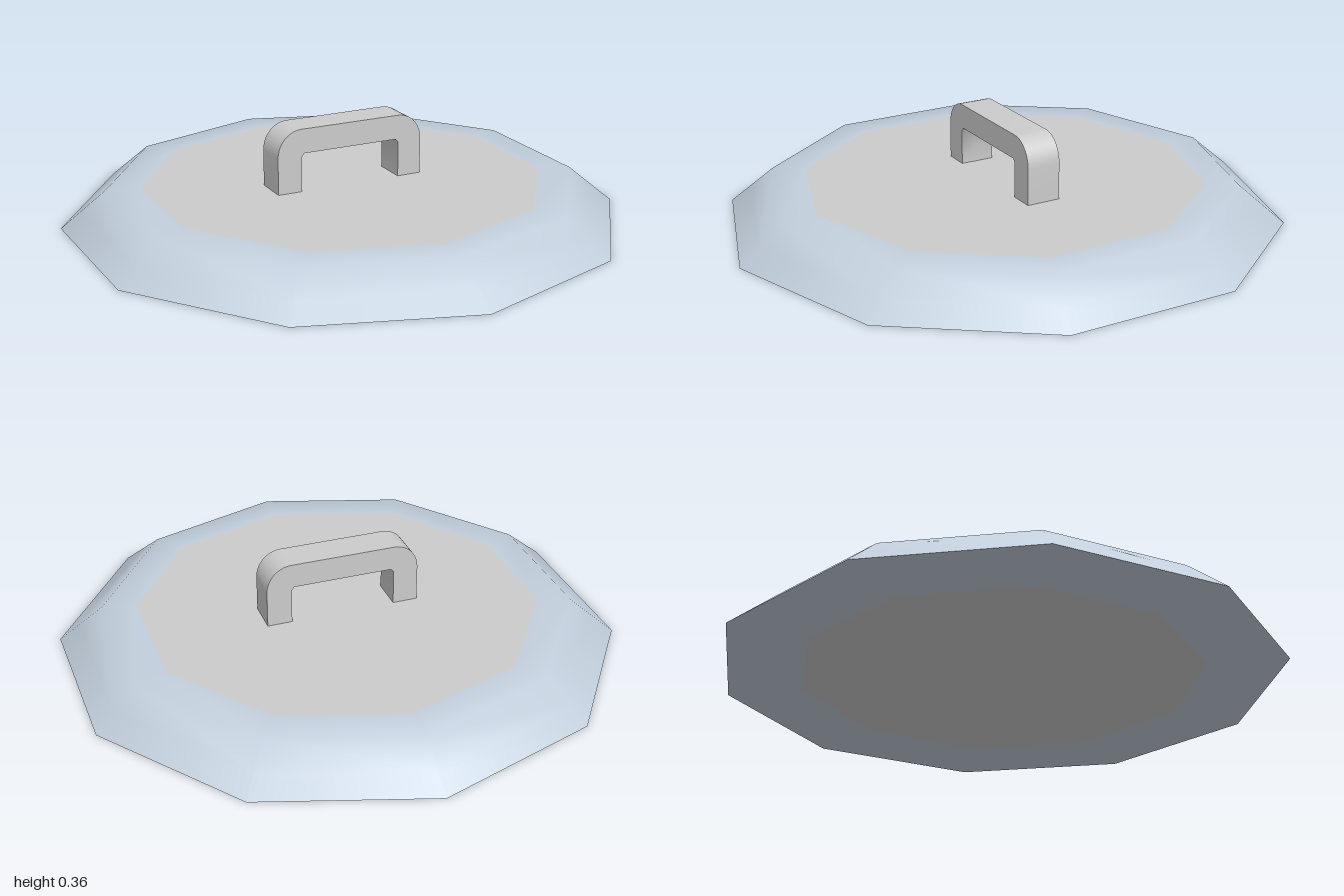
import * as THREE from 'three';
import { toCreasedNormals } from 'three/addons/utils/BufferGeometryUtils.js';

const SIDES = 10;
const TOP = 0.133;

export function createModel() {
  const lid = new THREE.Group();
  lid.name = 'lid';
  const grey = new THREE.MeshStandardMaterial({ color: 0xcccccc });
  const paleBlue = new THREE.MeshStandardMaterial({ color: 0xc2cfdc });

  const add = (name, geometry, material) => {
    const mesh = new THREE.Mesh(geometry, material);
    mesh.name = name;
    lid.add(mesh);
    return mesh;
  };
  const ring = (name, profile) => add(name, new THREE.LatheGeometry(
    profile.map(([r, y]) => new THREE.Vector2(r, y)), SIDES), paleBlue);

  // Ten-sided rim: sloping skirt that rolls smoothly into the flat top, and a flat underside
  ring('rimSkirt', [[1, 0], [0.93, 0.058]]);
  ring('rimTop', [[0.93, 0.058], [0.84, TOP], [0.72, TOP]]);
  ring('rimUnderside', [[0.72, 0], [1, 0]]);

  // Grey centre panels, above and below
  for (const [name, y, turn] of [['topPanel', TOP, -1], ['bottomPanel', 0, 1]]) {
    const disc = new THREE.CircleGeometry(0.72, SIDES, Math.PI / 2);
    disc.rotateX(turn * Math.PI / 2);
    add(name, disc, grey).position.y = y;
  }

  // Bridge handle: rounded outer shoulders, small chamfers inside the opening
  const outline = new THREE.Shape();
  outline.moveTo(-0.28, TOP);
  outline.lineTo(-0.19, TOP);
  outline.lineTo(-0.19, 0.26);
  outline.lineTo(-0.18, 0.272);
  outline.lineTo(0.18, 0.272);
  outline.lineTo(0.19, 0.26);
  outline.lineTo(0.19, TOP);
  outline.lineTo(0.28, TOP);
  outline.lineTo(0.28, 0.265);
  outline.absellipse(0.19, 0.265, 0.09, 0.095, 0, Math.PI / 2, false);
  outline.lineTo(-0.19, 0.36);
  outline.absellipse(-0.19, 0.265, 0.09, 0.095, Math.PI / 2, Math.PI, false);
  outline.closePath();
  const bar = new THREE.ExtrudeGeometry(outline, { depth: 0.124, bevelEnabled: false, curveSegments: 5 });
  bar.translate(0, 0, -0.062);
  add('handle', toCreasedNormals(bar, 0.7), grey);

  return lid;
}
